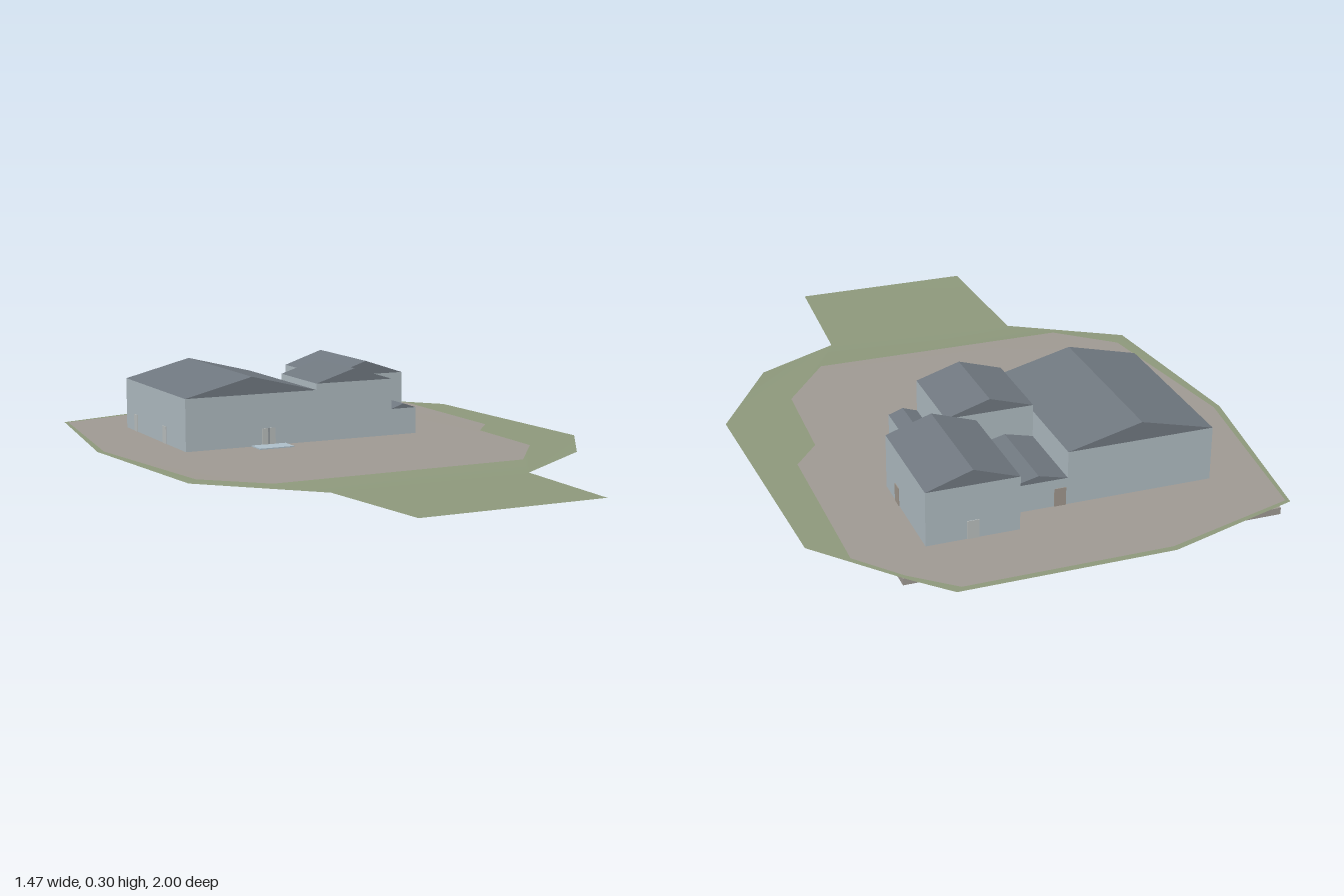
import * as THREE from 'three';

const mat = (name, color, extra = {}) => {
  const m = new THREE.MeshStandardMaterial({ color, ...extra });
  m.name = name;
  return m;
};

export function createModel() {
  const group = new THREE.Group();
  const wall = mat('wall blue grey', 0xafbbc1);
  const roof = mat('roof slate', 0x707880);
  const pale = mat('pale blue', 0xaebfca);
  const paving = mat('paving', 0x9f9a93, { side: THREE.DoubleSide });
  const grass = mat('grass', 0x8e997c, { side: THREE.DoubleSide });
  const doorGrey = mat('door grey', 0xb9bebd);
  const doorBrown = mat('door brown', 0x9f968c);

  const add = (name, geo, material, parent = group) => {
    const m = new THREE.Mesh(geo, material);
    m.name = name;
    parent.add(m);
    return m;
  };
  // box given by its limits on each axis
  const block = (name, x0, x1, y0, y1, z0, z1, material, parent) => {
    const m = add(name, new THREE.BoxGeometry(x1 - x0, y1 - y0, z1 - z0), material, parent);
    m.position.set((x0 + x1) / 2, (y0 + y1) / 2, (z0 + z1) / 2);
  };
  // plan outline of [x, z] points, laid flat after rotateX(-90 degrees)
  const plan = (pts, Type = THREE.Shape) => new Type(pts.map(([x, z]) => new THREE.Vector2(x, -z)));

  // gently uneven ground: flat in the yard, a hump and a dip at the front corners
  const bump = (x, z, cx, cz, r) => Math.exp(-((x - cx) ** 2 + (z - cz) ** 2) / (r * r));
  const height = (x, z) => 0.072 + 0.009 * bump(x, z, 0.56, 0.42, 0.15) - 0.014 * bump(x, z, -0.35, 0.57, 0.12)
    - 0.005 * bump(x, z, 0.27, 0.6, 0.12);
  const ground = (name, shape, material) => {
    const geo = new THREE.ShapeGeometry(shape);
    geo.rotateX(-Math.PI / 2);
    const p = geo.attributes.position;
    for (let i = 0; i < p.count; i++) p.setY(i, height(p.getX(i), p.getZ(i)));
    geo.computeVertexNormals();
    add(name, geo, material);
  };
  const yard = [[-0.64, -0.86], [-0.24, -0.98], [0.36, -0.98], [0.48, -0.88], [0.59, -0.75], [0.59, -0.2],
    [0.51, -0.1], [0.5, 0.22], [0.35, 0.42], [-0.46, 0.42], [-0.63, 0.27], [-0.715, -0.27]];
  const land = plan([[-0.65, -0.87], [-0.24, -1], [0.38, -1], [0.48, -0.9], [0.69, -0.66], [0.73, 0.12],
    [0.54, 0.42], [0.27, 0.58], [0.25, 1], [-0.32, 1], [-0.345, 0.55], [-0.67, 0.32], [-0.735, -0.27]]);
  land.holes.push(plan(yard, THREE.Path));
  ground('grassVerge', land, grass);
  ground('pavedYard', plan(yard), paving);

  // foundation slab, cut out under the buildings
  const footprint = [[-0.5, -0.145], [0.295, -0.145], [0.295, -0.32], [0.205, -0.32], [0.205, -0.41],
    [0.385, -0.41], [0.385, -0.76], [0.115, -0.76], [0.115, -0.675], [-0.5, -0.675]];
  const slab = plan([[-0.61, -0.89], [0.49, -0.89], [0.49, -0.01], [-0.61, -0.01]]);
  slab.holes.push(plan(footprint, THREE.Path));
  const slabGeo = new THREE.ExtrudeGeometry(slab, { depth: 0.02, bevelEnabled: false });
  slabGeo.rotateX(-Math.PI / 2);
  add('foundationSlab', slabGeo, paving).position.y = 0.05;

  // gabled buildings: walls and solid roof prism with its ridge along z
  const building = (name, x0, x1, z0, z1, eaves, ridge) => {
    const b = new THREE.Group();
    b.name = name;
    group.add(b);
    block('walls', x0, x1, 0.064, eaves, z0, z1, wall, b);
    const gable = new THREE.Shape([
      new THREE.Vector2(x0, eaves), new THREE.Vector2(x1, eaves), new THREE.Vector2((x0 + x1) / 2, ridge)]);
    const geo = new THREE.ExtrudeGeometry(gable, { depth: z1 - z0, bevelEnabled: false });
    add('gableRoof', geo, roof, b).position.z = z0;
  };
  building('mainHall', -0.497, -0.058, -0.675, -0.145, 0.235, 0.29);
  building('middleHall', -0.058, 0.207, -0.41, -0.145, 0.255, 0.296);
  building('rearHall', 0.115, 0.385, -0.76, -0.41, 0.235, 0.28);
  building('linkBuilding', -0.058, 0.115, -0.675, -0.41, 0.155, 0.176);
  building('sidePorch', 0.207, 0.295, -0.32, -0.145, 0.157, 0.172);

  // doors: thin panels on a wall, turned to face outwards
  const door = (x, z, turn, width, material) => {
    const d = new THREE.Group();
    d.name = 'door';
    d.position.set(x, 0.1, z);
    d.rotation.y = turn;
    block('doorPanel', -width / 2, width / 2, -0.028, 0.027, -0.002, 0.002, material, d);
    group.add(d);
    return d;
  };
  // double doors have a slim dark bar between the leaves
  const doubleDoor = (x, z, turn) => {
    const d = door(x, z, turn, 0.045, doorGrey);
    block('doorBar', -0.0015, 0.0015, -0.028, 0.027, 0.002, 0.003, roof, d);
  };
  const quarter = Math.PI / 2;
  doubleDoor(-0.222, -0.145, 0);
  doubleDoor(0.295, -0.228, quarter);
  door(0.385, -0.512, quarter, 0.035, doorBrown);
  door(0.25, -0.76, Math.PI, 0.035, doorGrey);
  door(-0.036, -0.675, Math.PI, 0.035, doorBrown);
  door(-0.497, -0.585, -quarter, 0.03, doorGrey);
  door(-0.497, -0.325, -quarter, 0.03, doorGrey);

  // entrance step, basement and the stair shaft beside it
  block('entranceStep', -0.28, -0.165, 0.052, 0.076, -0.145, -0.08, pale);
  block('basement', -0.21, -0.055, 0.005, 0.063, -0.67, -0.27, pale);
  block('stairShaft', -0.12, -0.053, 0, 0.063, -0.668, -0.5, paving);

  return group;
}
